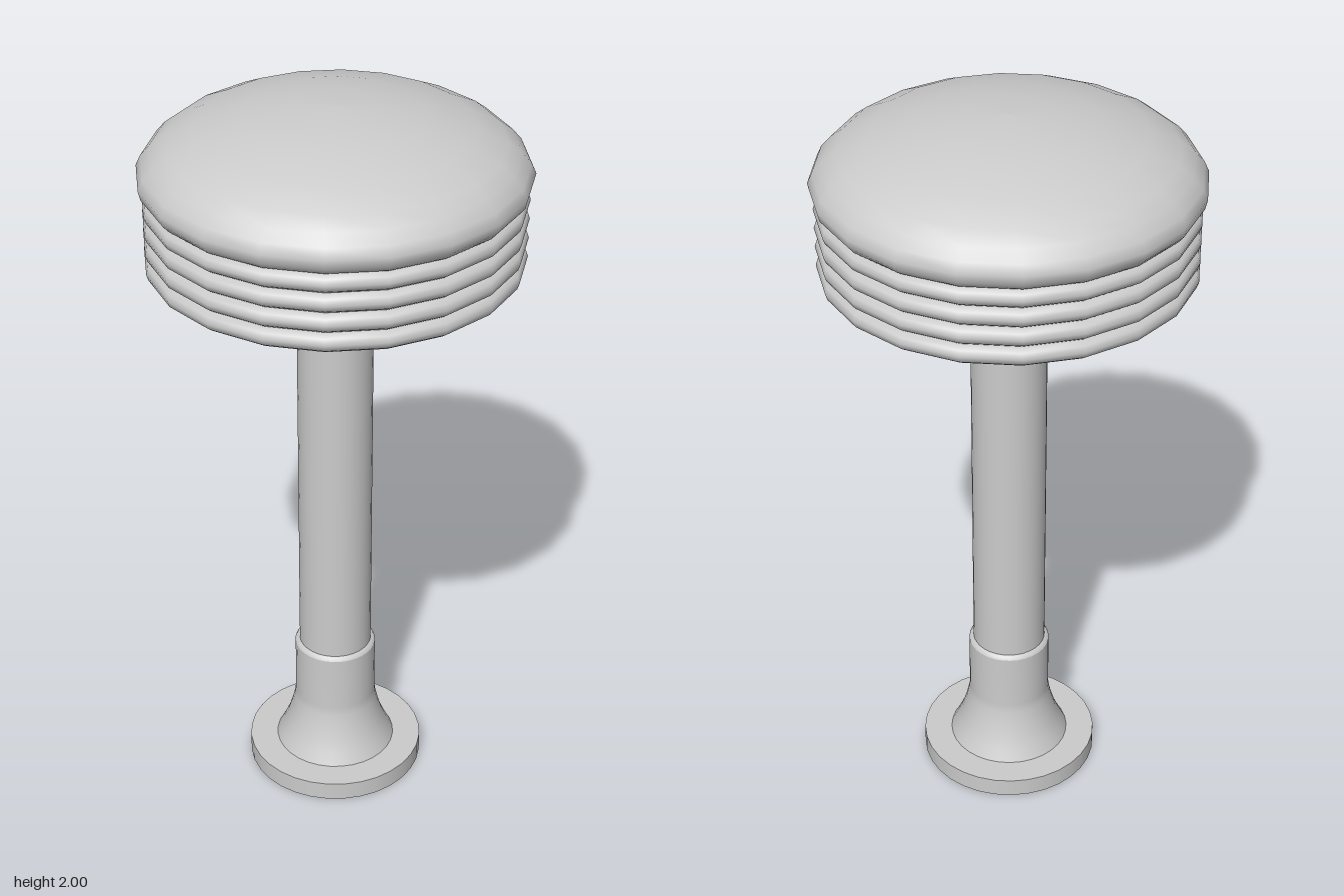
import * as THREE from 'three';

const SEAT_SIDES = 20, POST_SIDES = 32;

export function createModel() {
  const model = new THREE.Group();
  const metal = new THREE.MeshStandardMaterial({ color: 0xcccccc });
  const shell = new THREE.MeshStandardMaterial({ color: 0xcccccc, side: THREE.DoubleSide });

  const add = (name, geometry, y = 0, material = metal) => {
    const mesh = new THREE.Mesh(geometry, material);
    mesh.name = name;
    mesh.position.y = y;
    model.add(mesh);
    return mesh;
  };
  const disc = (name, r, y0, y1) =>
    add(name, new THREE.CylinderGeometry(r, r, y1 - y0, POST_SIDES), (y0 + y1) / 2);
  const lathe = (name, points, sides, material) =>
    add(name, new THREE.LatheGeometry(points.map(([r, y]) => new THREE.Vector2(r, y)), sides), 0, material);

  // Floor plate, flared foot and post
  disc('floorPlate', 0.243, 0, 0.053);
  lathe('flaredFoot', [
    [0.166, 0.053], [0.15, 0.085], [0.135, 0.12], [0.123, 0.16], [0.115, 0.195], [0.112, 0.22], [0.112, 0.383],
  ], POST_SIDES);
  lathe('footCollar', [[0.112, 0.383], [0.107, 0.392], [0.098, 0.394]], POST_SIDES);
  disc('post', 0.1, 0.053, 1.78);

  // Mounting plate hidden under the cushion
  disc('mountingPlate', 0.24, 1.766, 1.8);

  // Stacked rounded bands around the open underside
  for (let i = 0; i < 4; i++) {
    const band = add('trimBand', new THREE.TorusGeometry(0.459, 0.0265, 10, SEAT_SIDES), 1.601 + i * 0.0525);
    band.rotation.x = Math.PI / 2;
  }

  // Domed cushion, an open shell underneath
  lathe('cushion', [
    [0.455, 1.784], [0.476, 1.788], [0.49, 1.805], [0.496, 1.83], [0.484, 1.856], [0.46, 1.884],
    [0.425, 1.911], [0.35, 1.947], [0.23, 1.979], [0.11, 1.996], [0, 2],
  ], SEAT_SIDES, shell);

  return model;
}
